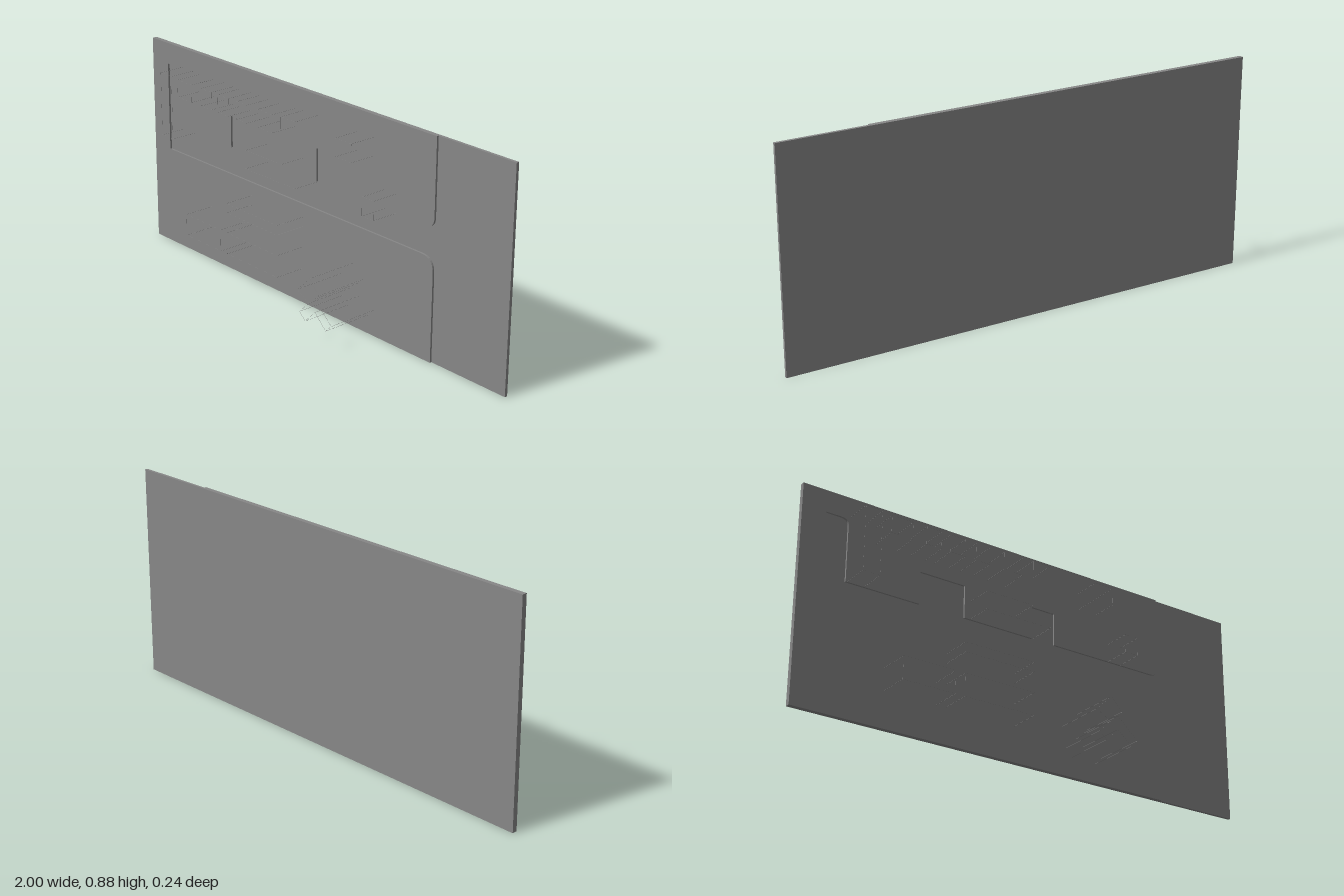
import * as THREE from 'three';

const W = 2, H = 0.876;
const BACK = -0.12, BASE = -0.108, TOP = -0.1;
const material = new THREE.MeshStandardMaterial({ color: 0x878787, flatShading: true });

function add(parent, name, geometry) {
  const mesh = new THREE.Mesh(geometry, material);
  mesh.name = name;
  parent.add(mesh);
  return mesh;
}

// Hair-thin rod between two points
function rod(parent, name, a, b) {
  const from = new THREE.Vector3(...a), to = new THREE.Vector3(...b);
  const t = 0.0006;
  const mesh = add(parent, name, new THREE.BoxGeometry(t, t, from.distanceTo(to)));
  mesh.position.copy(from).lerp(to, 0.5);
  mesh.lookAt(to);
}

// Open outline of a building: roof edges plus an upright at every corner
function outline(parent, name, points, top) {
  const group = new THREE.Group();
  group.name = name;
  points.forEach(([x, y], i) => {
    const [nx, ny] = points[(i + 1) % points.length];
    rod(group, 'roofEdge', [x, y, top], [nx, ny, top]);
    rod(group, 'cornerEdge', [x, y, TOP], [x, y, top]);
  });
  parent.add(group);
}

const rect = (x0, y0, x1, y1) => [[x0, y0], [x1, y0], [x1, y1], [x0, y1]];

export function createModel() {
  const model = new THREE.Group();
  model.name = 'sitePlan';

  // Base board, which shows as the road surface
  add(model, 'baseBoard', new THREE.BoxGeometry(W, H, BASE - BACK))
    .position.set(0, H / 2, (BASE + BACK) / 2);

  // Raised ground: one outline wrapping round the road and its parking bays
  const ground = new THREE.Shape();
  const edge = 0.639, r = 0.06;
  ground.moveTo(-1, 0);
  ground.lineTo(edge, 0);
  ground.lineTo(edge, 0.416 - r);
  ground.quadraticCurveTo(edge, 0.416, edge - r, 0.416);
  ground.lineTo(-0.9, 0.416);
  ground.lineTo(-0.9, 0.787);
  ground.lineTo(-0.84, 0.787);
  ground.quadraticCurveTo(-0.807, 0.787, -0.807, 0.76);
  for (const [x, y] of [
    [-0.807, 0.53], [-0.495, 0.53], [-0.495, 0.664], [-0.296, 0.664], [-0.296, 0.53],
    [0.015, 0.53], [0.015, 0.664], [0.12, 0.664], [0.12, 0.53],
  ]) ground.lineTo(x, y);
  ground.lineTo(edge - 0.04, 0.53);
  ground.quadraticCurveTo(edge, 0.53, edge, 0.57);
  ground.lineTo(edge, H);
  ground.lineTo(-1, H);
  ground.closePath();
  const groundGeometry = new THREE.ExtrudeGeometry(ground, {
    depth: TOP - BASE, bevelEnabled: false, curveSegments: 8,
  });
  add(model, 'raisedGround', groundGeometry).position.z = BASE;

  // Upper row of low buildings
  for (const [x0, x1] of [
    [-0.69, -0.6], [-0.54, -0.475], [-0.435, -0.37], [-0.32, -0.26], [-0.195, -0.11],
    [0.24, 0.325],
  ]) {
    outline(model, 'upperBuilding', rect(x0, 0.718, x1, 0.79), 0.013);
  }

  // Wings beside the row and the small block by the road
  outline(model, 'leftWing', rect(-0.8, 0.53, -0.73, 0.795), 0.013);
  outline(model, 'middleWing', [
    [-0.27, 0.53], [0.02, 0.53], [0.02, 0.795], [-0.06, 0.795], [-0.06, 0.605], [-0.27, 0.605],
  ], 0.013);
  outline(model, 'roadsideBlock', rect(0.385, 0.53, 0.445, 0.605), 0.013);

  // Long lower buildings
  for (const [x0, x1] of [[-0.63, -0.41], [-0.37, -0.065]]) {
    outline(model, 'lowerBuilding', rect(x0, 0.144, x1, 0.235), 0.03);
  }
  outline(model, 'middleBuilding', rect(-0.37, 0.32, -0.065, 0.36), 0.03);

  // Tall building set at an angle
  outline(model, 'angledBuilding', [
    [0.155, 0.195], [0.225, 0.262], [0.275, 0.21], [0.255, 0.19], [0.345, 0.11],
    [0.315, 0.08], [0.255, 0.135], [0.2, 0.08], [0.17, 0.11], [0.22, 0.16],
  ].reverse(), 0.12);

  return model;
}
